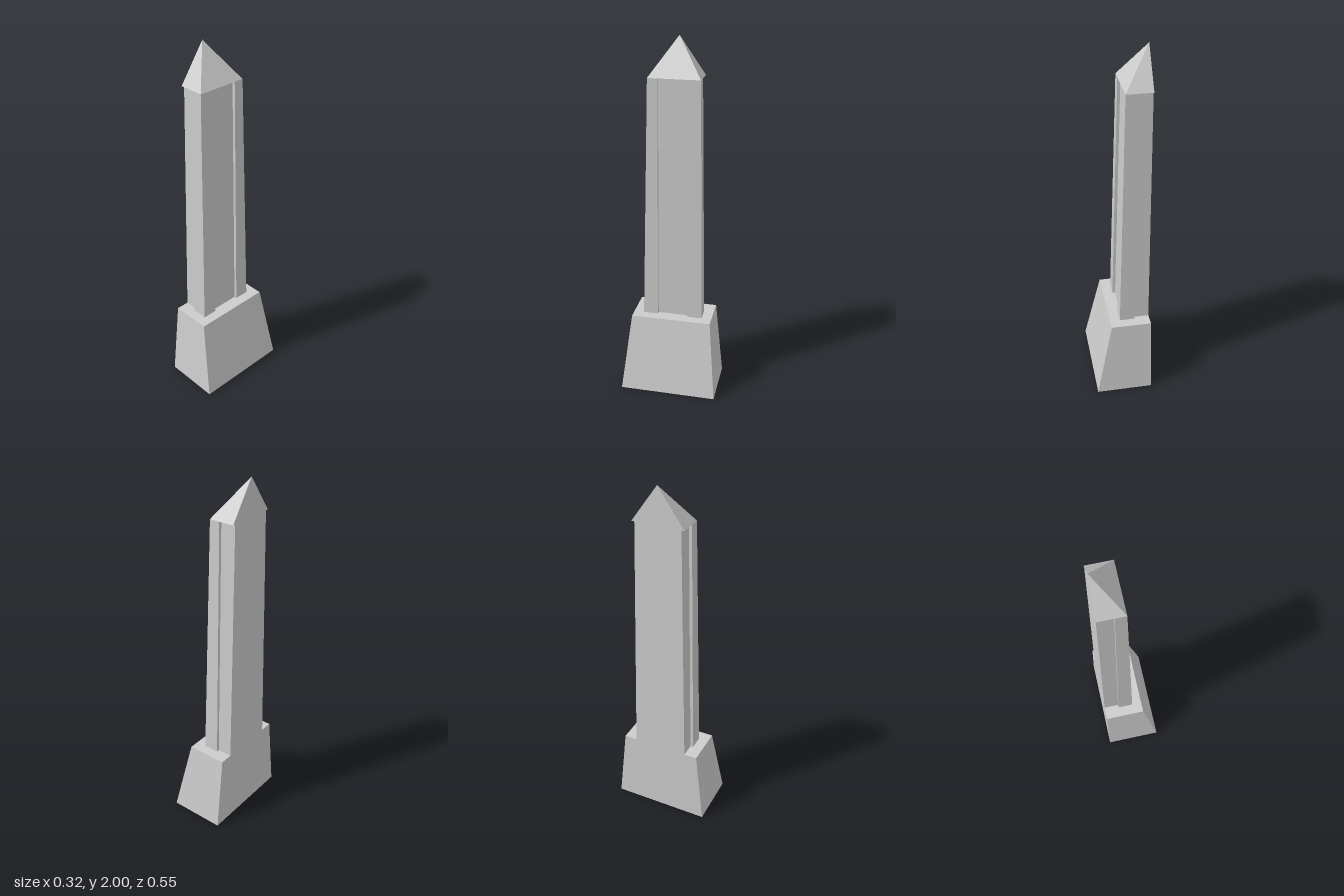
import * as THREE from 'three';

const BACK = -0.158; // x of the flat cut side
const material = new THREE.MeshStandardMaterial({ color: 0xcccccc, flatShading: true });

// Mirrors a half outline of [x, z] points (front to middle) across z = 0.
const mirrored = (half) => [...half, ...half.map(([x, z]) => [x, -z]).reverse()];

// Closed solid between two matching outlines; a null top outline tapers to the apex.
function loft(name, bottom, y0, top, y1) {
  const pos = [];
  const point = (ring, i, y) => [ring[i][0], y, ring[i][1]];
  const n = bottom.length;
  for (let i = 0; i < n; i++) {
    const j = (i + 1) % n;
    const a = point(bottom, i, y0), b = point(bottom, j, y0);
    if (top) {
      const c = point(top, j, y1), d = point(top, i, y1);
      pos.push(...a, ...b, ...c, ...a, ...c, ...d);
    } else {
      pos.push(...a, ...b, BACK, y1, 0);
    }
  }
  const faces = (ring) =>
    THREE.ShapeUtils.triangulateShape(ring.map(([x, z]) => new THREE.Vector2(x, -z)), []);
  for (const [a, b, c] of faces(bottom)) {
    pos.push(...point(bottom, a, y0), ...point(bottom, c, y0), ...point(bottom, b, y0));
  }
  if (top) {
    for (const [a, b, c] of faces(top)) {
      pos.push(...point(top, a, y1), ...point(top, b, y1), ...point(top, c, y1));
    }
  }
  const geometry = new THREE.BufferGeometry();
  geometry.setAttribute('position', new THREE.Float32BufferAttribute(pos, 3));
  geometry.computeVertexNormals();
  const mesh = new THREE.Mesh(geometry, material);
  mesh.name = name;
  return mesh;
}

const rectangle = (x, z) => mirrored([[BACK, z], [x, z]]);

// Shaft outline with a sunken panel in each face; panel edges stay vertical.
function shaftOutline(x, z) {
  const depth = 0.016;
  return mirrored([
    [BACK, z - depth], [-0.075, z - depth], [-0.075, z],
    [x, z], [x, 0.086], [x - depth, 0.086],
  ]);
}

export function createModel() {
  const group = new THREE.Group();
  group.name = 'halfObelisk';
  group.add(
    loft('pedestal', rectangle(0.158, 0.274), 0, rectangle(0.067, 0.227), 0.44),
    loft('shaft', shaftOutline(0.011, 0.17), 0.44, shaftOutline(-0.018, 0.141), 1.8),
    loft('pointedCap', rectangle(-0.018, 0.141), 1.8, null, 2),
  );
  return group;
}
